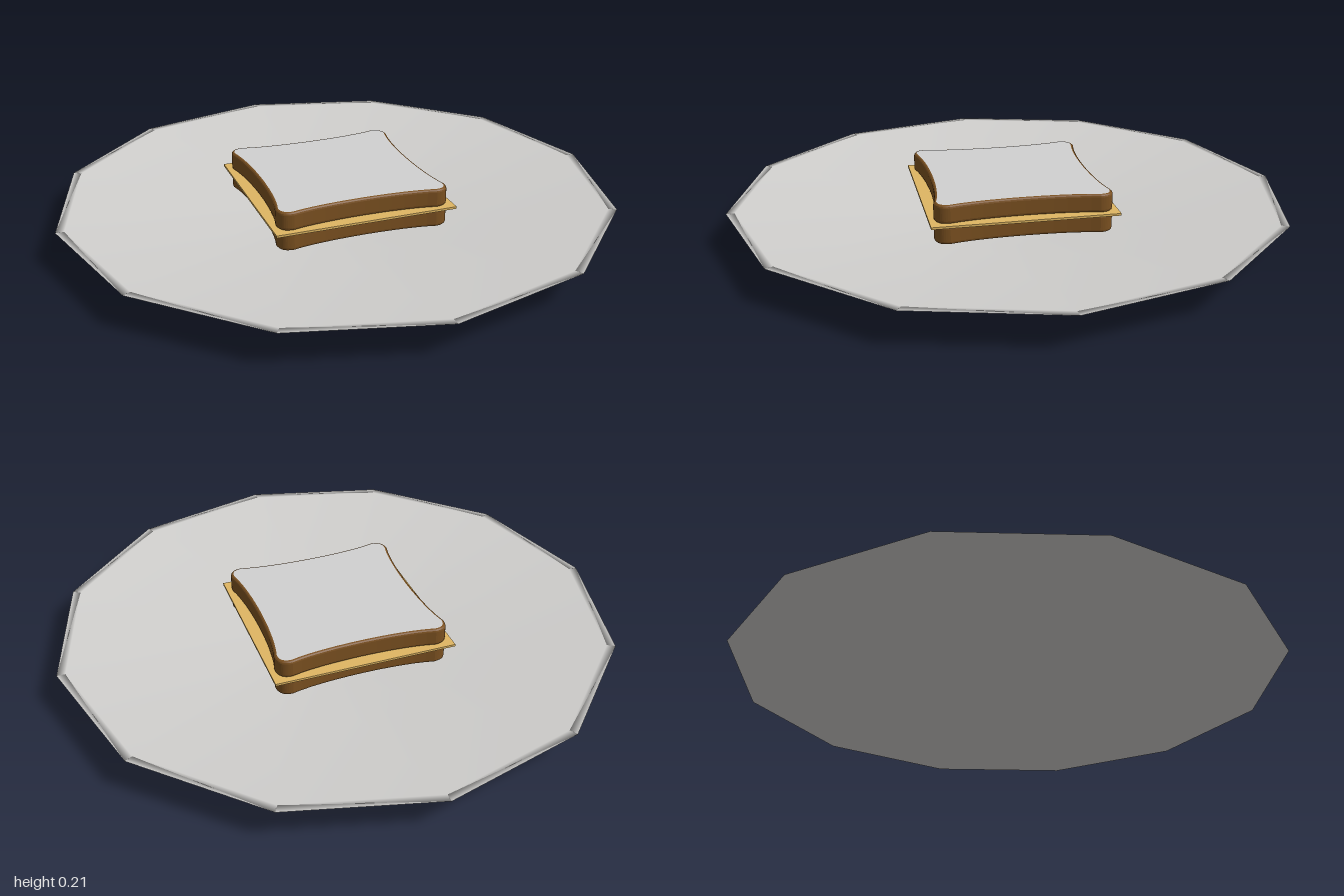
import * as THREE from 'three';

const material = (name, color, side = THREE.FrontSide) => {
  const m = new THREE.MeshStandardMaterial({ color, side });
  m.name = name;
  return m;
};

// Square slice with rounded corners and slightly pinched sides
function sliceShape() {
  const c = 0.31, s = 0.26, dip = 0.278, q = 0.14;
  const shape = new THREE.Shape();
  shape.moveTo(c, -s);
  for (let i = 0; i < 4; i++) {
    const a = i * Math.PI / 2;
    const p = (x, y) => [
      x * Math.cos(a) - y * Math.sin(a),
      x * Math.sin(a) + y * Math.cos(a),
    ];
    shape.bezierCurveTo(...p(dip, -q), ...p(dip, q), ...p(c, s));
    shape.quadraticCurveTo(...p(c, c), ...p(s, c));
  }
  return shape;
}

export function createModel() {
  const model = new THREE.Group();
  model.name = 'sandwichOnPlate';
  const china = material('plate white', 0xd0cfcd);
  const crumb = material('bread white', 0xd0d0d0);
  const crust = material('crust brown', 0x7a5020);
  const cheeseYellow = material('cheese yellow', 0xdfb663);

  const add = (name, geometry, mat, y = 0) => {
    const mesh = new THREE.Mesh(geometry, mat);
    mesh.name = name;
    mesh.position.y = y;
    model.add(mesh);
  };

  // Shallow twelve-sided plate with a thin rim
  const profile = [
    [0, 0], [0.2, 0.002], [0.3, 0.015], [1, 0.12],
    [0.97, 0.12], [0.3, 0.042], [0, 0.038],
  ].map(([r, y]) => new THREE.Vector2(r, y));
  add('plate', new THREE.LatheGeometry(profile, 12), china);

  // Two bread slices: pale faces, brown crust and bevel
  const thickness = 0.066, bevel = 0.01;
  const slice = new THREE.ExtrudeGeometry(sliceShape(), {
    depth: thickness - 2 * bevel,
    bevelThickness: bevel,
    bevelSize: bevel,
    bevelOffset: -bevel,
    bevelSegments: 3,
    curveSegments: 12,
  });
  slice.translate(0, 0, bevel).rotateX(-Math.PI / 2);
  add('lowerBread', slice, [crumb, crust], 0.07);
  add('upperBread', slice, [crumb, crust], 0.144);

  // Cheese slice sticking out between the breads
  add('cheese', new THREE.BoxGeometry(0.655, 0.008, 0.655), cheeseYellow, 0.14);

  return model;
}
